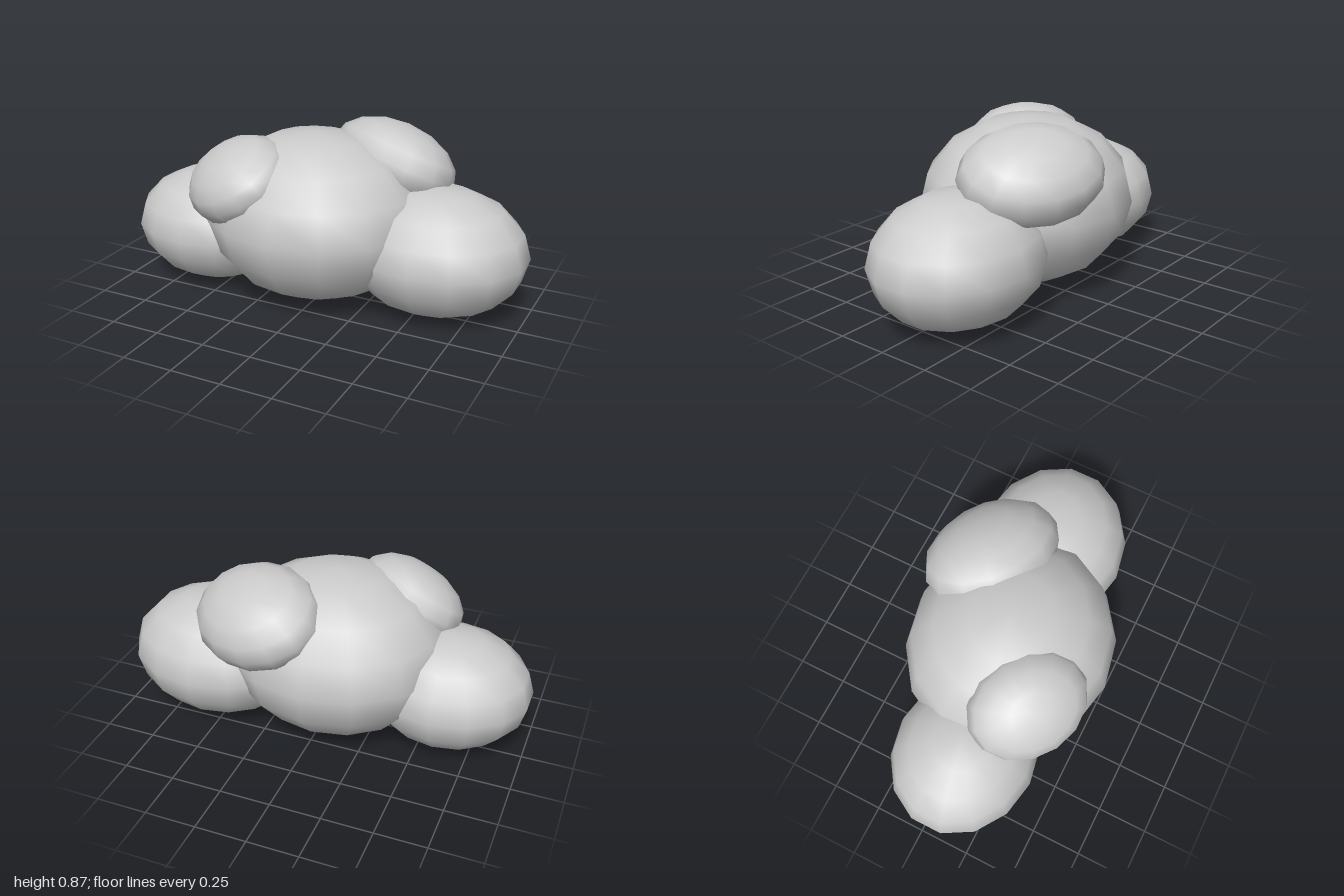
import * as THREE from 'three';

const material = new THREE.MeshStandardMaterial({ color: 0xcccccc });

// Unit ball with 14 sides, turned so its corners point along z
const ball = new THREE.SphereGeometry(1, 14, 8).rotateY(Math.PI / 2);

// name, centre, radii, rotation
const puffs = [
  ['mainPuff', [-0.04, 0.43, 0.016], [0.559, 0.415, 0.507], [0, 0, 0]],
  ['leftPuff', [0.56, 0.317, -0.06], [0.451, 0.313, 0.382], [0, 0, 0]],
  ['rightPuff', [-0.6, 0.302, 0.05], [0.41, 0.288, 0.35], [0, 0, 0]],
  ['upperBackPuff', [0.26, 0.665, -0.238], [0.354, 0.197, 0.28], [-0.48, -0.4, -0.28]],
  ['upperFrontPuff', [-0.335, 0.63, 0.25], [0.3, 0.172, 0.254], [0.62, -0.36, 0.42]],
];

export function createModel() {
  const cloud = new THREE.Group();
  cloud.name = 'cloud';
  for (const [name, centre, radii, rotation] of puffs) {
    const puff = new THREE.Mesh(ball, material);
    puff.name = name;
    puff.position.set(...centre);
    puff.scale.set(...radii);
    puff.rotation.set(...rotation);
    cloud.add(puff);
  }
  return cloud;
}
